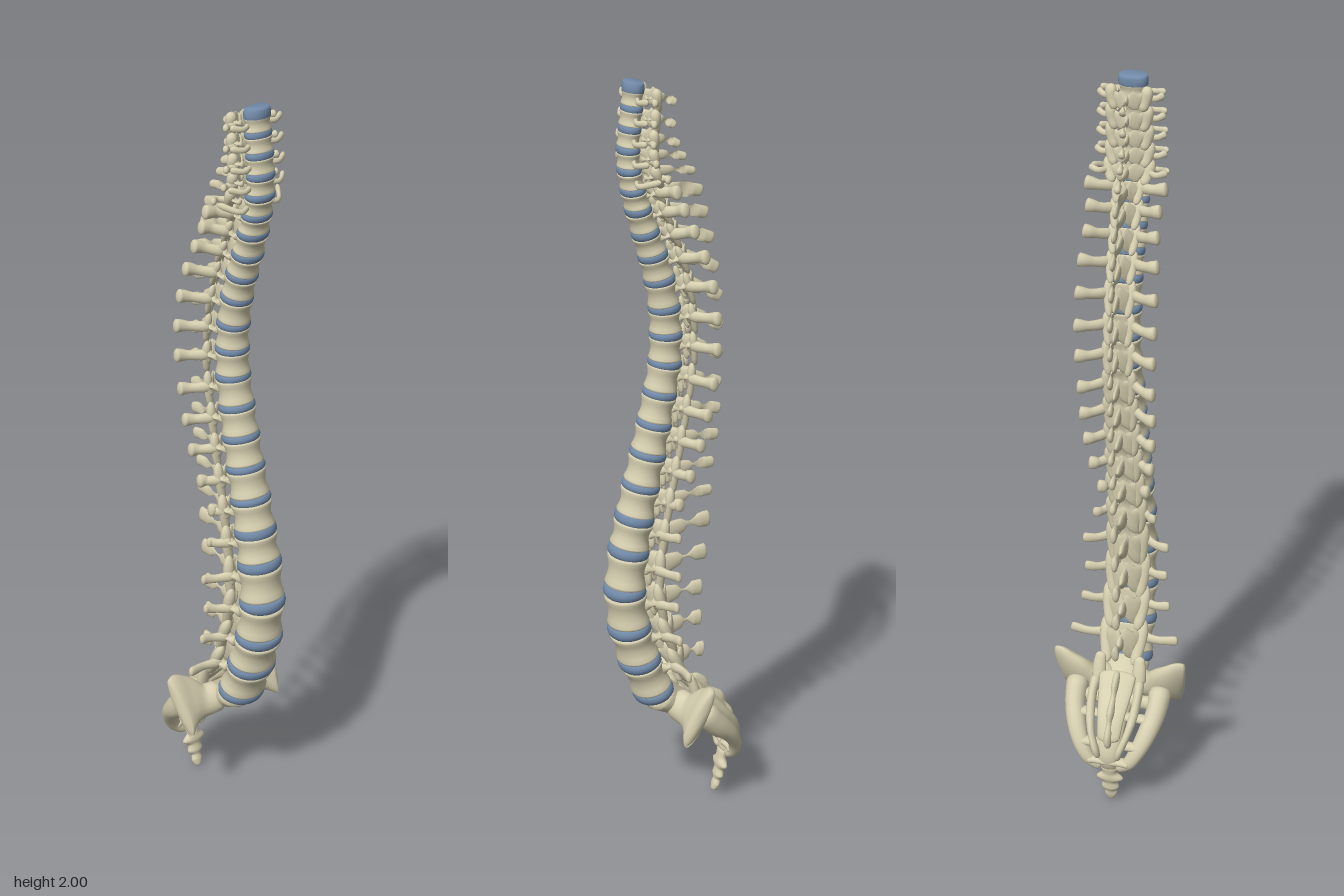
import * as THREE from 'three';

const boneMat = new THREE.MeshStandardMaterial({ color: 0xd6cfb0 });
const discMat = new THREE.MeshStandardMaterial({ color: 0x738cab });
const X = new THREE.Vector3(1, 0, 0), Y = new THREE.Vector3(0, 1, 0);

// Discs from top to bottom: y, z, half width, half depth
const DISCS = [
  [1.983, .098, .036, .026], [1.935, .102, .037, .026], [1.885, .108, .038, .027], [1.835, .112, .039, .028],
  [1.785, .110, .041, .029], [1.735, .100, .043, .031], [1.685, .087, .044, .033], [1.625, .068, .043, .036],
  [1.565, .048, .042, .039], [1.5, .030, .042, .041], [1.425, .017, .043, .042], [1.355, .013, .044, .043],
  [1.28, .016, .046, .044], [1.2, .030, .048, .045], [1.12, .046, .050, .046], [1.04, .063, .052, .048],
  [.955, .083, .054, .050], [.87, .101, .057, .052], [.78, .118, .060, .054], [.67, .130, .063, .056],
  [.56, .118, .066, .058], [.46, .090, .069, .058], [.362, .052, .068, .056],
];
// Vertebrae: transverse tip x, its distance behind the body centre, spinous tip y, spinous tip z
const VERTEBRAE = [
  [.080, .022, 1.935, -.012], [.083, .024, 1.880, -.010], [.085, .026, 1.832, -.022], [.088, .032, 1.800, -.040],
  [.096, .055, 1.762, -.064], [.103, .075, 1.710, -.085], [.095, .085, 1.652, -.100], [.096, .092, 1.585, -.115],
  [.102, .097, 1.505, -.128], [.104, .100, 1.430, -.138], [.105, .100, 1.352, -.140], [.103, .100, 1.275, -.140],
  [.100, .100, 1.200, -.138], [.099, .100, 1.130, -.138], [.094, .100, 1.060, -.133], [.086, .095, .985, -.121],
  [.070, .090, .908, -.116], [.085, .095, .828, -.111], [.117, .095, .735, -.102], [.113, .095, .632, -.090],
  [.122, .085, .543, -.088], [.148, .070, .447, -.095],
];

// Rounded bone lofted through [x, y, z, a, b]; a is the radius along ref, b the radius across it
function bone(name, pts, ref = X, cap = .12, around = 12, steps = 10) {
  const path = new THREE.CatmullRomCurve3(pts.map(p => new THREE.Vector3(p[0], p[1], p[2])));
  const size = new THREE.CatmullRomCurve3(pts.map(p => new THREE.Vector3(p[3], p[4], 0)));
  const ts = [0, .03 * cap, .15 * cap, .45 * cap];
  for (let i = 0; i <= steps; i++) ts.push(cap + (1 - 2 * cap) * i / steps);
  ts.push(1 - .45 * cap, 1 - .15 * cap, 1 - .03 * cap, 1);
  const pos = [], idx = [];
  ts.forEach((t, i) => {
    const c = path.getPoint(t), r = size.getPoint(t), tan = path.getTangent(t);
    const s = ref.clone().addScaledVector(tan, -ref.dot(tan)).normalize();
    const o = tan.clone().cross(s);
    const u = Math.min(1, Math.min(t, 1 - t) / cap), k = Math.sqrt(Math.max(0, 1 - (1 - u) ** 2));
    for (let j = 0; j < around; j++) {
      const q = j / around * Math.PI * 2;
      const v = c.clone().addScaledVector(s, Math.cos(q) * r.x * k).addScaledVector(o, Math.sin(q) * r.y * k);
      pos.push(v.x, v.y, v.z);
      if (i) {
        const n = (j + 1) % around, A = (i - 1) * around, B = i * around;
        idx.push(A + j, A + n, B + n, A + j, B + n, B + j);
      }
    }
  });
  const g = new THREE.BufferGeometry();
  g.setAttribute('position', new THREE.Float32BufferAttribute(pos, 3));
  g.setIndex(idx);
  g.computeVertexNormals();
  const m = new THREE.Mesh(g, boneMat);
  m.name = name;
  return m;
}

// The same bone on both sides
function pair(group, name, pts, ...rest) {
  group.add(bone('left' + name, pts, ...rest));
  group.add(bone('right' + name, pts.map(([x, ...r]) => [-x, ...r]), ...rest));
}

// Turned drum with a kidney-shaped plan; profile is [radius, height]
function drum(name, profile, w, d, h, mat) {
  const g = new THREE.LatheGeometry(profile.map(p => new THREE.Vector2(p[0], p[1])), 28, Math.PI);
  const p = g.attributes.position;
  for (let i = 0; i < p.count; i++) {
    const x = p.getX(i), z = p.getZ(i);
    const back = z < 0 ? .82 + .18 * Math.min(1, Math.abs(x)) : 1;
    p.setXYZ(i, x * w, p.getY(i) * h, z * d * back);
  }
  g.computeVertexNormals();
  const m = new THREE.Mesh(g, mat);
  m.name = name;
  return m;
}
const BODY = [[0, -.5], [.9, -.5], [.98, -.47], [1, -.4], [.93, -.25], [.87, 0], [.93, .25], [1, .4], [.98, .47], [.9, .5], [0, .5]];
const DISC = [[0, -.5], [.92, -.5], [1, -.3], [1.03, 0], [1, .3], [.92, .5], [0, .5]];
const thickness = i => (i < 6 ? .018 : i < 17 ? .021 : .029);

function vertebra(i) {
  const g = new THREE.Group();
  const a = DISCS[i], b = DISCS[i + 1];
  const [cy, cz, w, d] = a.map((v, k) => (v + b[k]) / 2);
  const [tx, tBack, sy, sz] = VERTEBRAE[i];
  const span = Math.hypot(a[0] - b[0], a[1] - b[1]), tilt = Math.atan2(a[1] - b[1], a[0] - b[0]);
  const neck = i < 5, lumbar = i > 16, s = w / .05;
  // Point in the tilted frame of the vertebra, plus its two radii
  const P = (x, up, back, ra, rb) => [x, cy + up * Math.cos(tilt) + back * Math.sin(tilt),
    cz + up * Math.sin(tilt) - back * Math.cos(tilt), ra, rb];

  const body = drum('vertebralBody', BODY, w, d, span - thickness(i) * .8, boneMat);
  body.position.set(0, cy, cz);
  body.rotation.x = tilt;
  g.add(body);

  // Arch around the canal
  const canal = d + (neck ? .036 : lumbar ? .04 : .033), ax = w * (neck ? 1.1 : .65), tall = span * (neck ? .3 : .34);
  pair(g, 'Arch', [P(ax * .9, span * .12, d * .55, span * .2, .009 * s), P(ax, span * .1, d + .008, span * .2, .009 * s),
    P(ax * .65, 0, canal - .008, tall, .007 * s), P(0, -span * .1, canal + .006, tall, .007 * s)], Y, .08);

  // Joint processes above and below
  const r = neck ? .013 : .0115 * s;
  pair(g, 'ArticularProcess', [P(ax * 1.05, span * .6, d + .014, r * .8, r * .6), P(ax * 1.1, span * .25, d + .017, r * 1.1, r),
    P(ax, -span * .2, d + .022, r, r * .8), P(ax * .8, -span * .62, d + .028, r * .85, r * .65)], X, .15);

  // Spinous process
  const root = P(0, 0, canal - .004, .008 * s, span * .3);
  const end = lumbar ? .024 : neck ? .010 : .015, mid = lumbar ? .021 : neck ? .011 : .016;
  const mix = (k, ra, rb, lift = 0) => [0, root[1] + (sy - root[1]) * k + lift, root[2] + (sz - root[2]) * k, ra, rb];
  g.add(bone('spinousProcess', [root, mix(.4, .0065 * s, mid, .004), mix(.75, .0065 * s, mid, .003),
    mix(1, neck ? .010 : .0085 * s, end)], X, .09));

  // Transverse processes; those of the neck have two bars around an opening
  if (neck) {
    pair(g, 'FrontTransverseBar', [P(w * .8, 0, 0, .008, .006), P(w * 1.4, -.003, -.006, .007, .005), P(tx, .004, tBack - .016, .009, .007)], Y);
    pair(g, 'RearTransverseBar', [P(ax * .9, 0, d + .008, .009, .007), P(w * 1.7, -.003, tBack + .014, .008, .006), P(tx, .002, tBack, .010, .008)], Y);
  } else if (lumbar) {
    pair(g, 'TransverseProcess', [P(ax, .012, d + .002, .017, .011), P((ax + tx) / 2, .010, (d + tBack) / 2 + .008, .012, .008),
      P(tx - .012, .014, tBack, .014, .008), P(tx, .015, tBack, .012, .007)], Y);
  } else {
    pair(g, 'TransverseProcess', [P(ax, .008, d + .01, .016, .011), P((ax + tx) / 2, .009, (d + tBack) / 2 + .012, .013, .010),
      P(tx - .016, .012, tBack - .004, .017, .013), P(tx, .014, tBack, .019, .014)], Y);
  }
  g.name = (neck ? 'cervical' : lumbar ? 'lumbar' : 'thoracic') + 'Vertebra' + (neck ? i + 3 : lumbar ? i - 16 : i - 4);
  return g;
}

function sacrum() {
  const g = new THREE.Group();
  g.name = 'sacrum';
  // Fused central bodies
  g.add(bone('sacralBody', [[0, .355, .05, .066, .052], [0, .325, .01, .060, .042], [0, .29, -.05, .046, .030],
    [0, .255, -.105, .038, .025], [0, .215, -.146, .034, .02], [0, .165, -.163, .028, .016], [0, .12, -.154, .026, .012]], X, .05, 20, 24));
  // Flared wings
  pair(g, 'Wing', [[.02, .325, .005, .042, .035], [.075, .315, -.015, .045, .03], [.125, .328, -.018, .074, .028],
    [.158, .335, -.01, .09, .022], [.174, .335, -.006, .08, .014]], new THREE.Vector3(0, .9, -.42), .1, 20, 16);
  // Side masses, joined to the bodies by bridges that leave the openings
  pair(g, 'LateralMass', [[.115, .33, -.035, .032, .035], [.112, .275, -.085, .028, .032], [.098, .235, -.125, .026, .024],
    [.078, .19, -.152, .022, .018], [.055, .15, -.161, .018, .014], [.022, .122, -.155, .014, .012]], X, .06, 14, 20);
  for (const [y, z, x, ra] of [[.285, -.06, .11, .022], [.262, -.105, .1, .013], [.199, -.15, .082, .014], [.15, -.161, .06, .012]])
    pair(g, 'Bridge', [[0, y, z, ra, .018], [x * .5, y, z, ra * .9, .015], [x, y, z, ra, .018]], Y);
  // Roof of the canal with its knobbly crest
  g.add(bone('canalRoof', [[0, .37, -.05, .052, .012], [0, .325, -.09, .046, .013], [0, .27, -.14, .036, .013], [0, .215, -.168, .03, .012]], X, .08, 16, 12));
  g.add(bone('medianCrest', [[0, .375, -.06, .009, .012], [0, .345, -.085, .01, .022], [0, .32, -.105, .008, .014],
    [0, .29, -.135, .011, .022], [0, .265, -.15, .008, .014], [0, .235, -.166, .011, .018], [0, .2, -.172, .009, .009]], X, .05, 12, 24));
  pair(g, 'SideCrest', [[.06, .35, -.055, .014, .015], [.062, .315, -.09, .012, .018], [.058, .275, -.13, .012, .014],
    [.048, .235, -.16, .01, .014], [.033, .195, -.177, .010, .012], [.026, .165, -.172, .007, .008]], X, .06, 12, 20);
  pair(g, 'UpperJointProcess', [[.055, .335, -.05, .02, .016], [.055, .375, -.04, .018, .013], [.053, .41, -.03, .013, .008]]);
  return g;
}

export function createModel() {
  const model = new THREE.Group();
  model.name = 'spine';
  VERTEBRAE.forEach((_, i) => model.add(vertebra(i)));
  DISCS.forEach(([y, z, w, d], i) => {
    const a = DISCS[Math.max(0, i - 1)], b = DISCS[Math.min(DISCS.length - 1, i + 1)];
    const disc = drum('disc' + (i + 1), DISC, w, d, thickness(i) * (i ? 1.05 : 1.7), discMat);
    disc.position.set(0, y, z);
    disc.rotation.x = Math.atan2(a[1] - b[1], a[0] - b[0]);
    model.add(disc);
  });
  model.add(sacrum());
  // Tailbone
  model.add(bone('coccyx', [[0, .13, -.156, .026, .012], [0, .105, -.15, .02, .012], [0, .085, -.147, .038, .014],
    [0, .068, -.144, .02, .011], [0, .05, -.141, .025, .013], [0, .036, -.138, .013, .010], [0, .022, -.134, .017, .011],
    [0, 0, -.128, .008, .009]], X, .04, 14, 30));
  return model;
}
